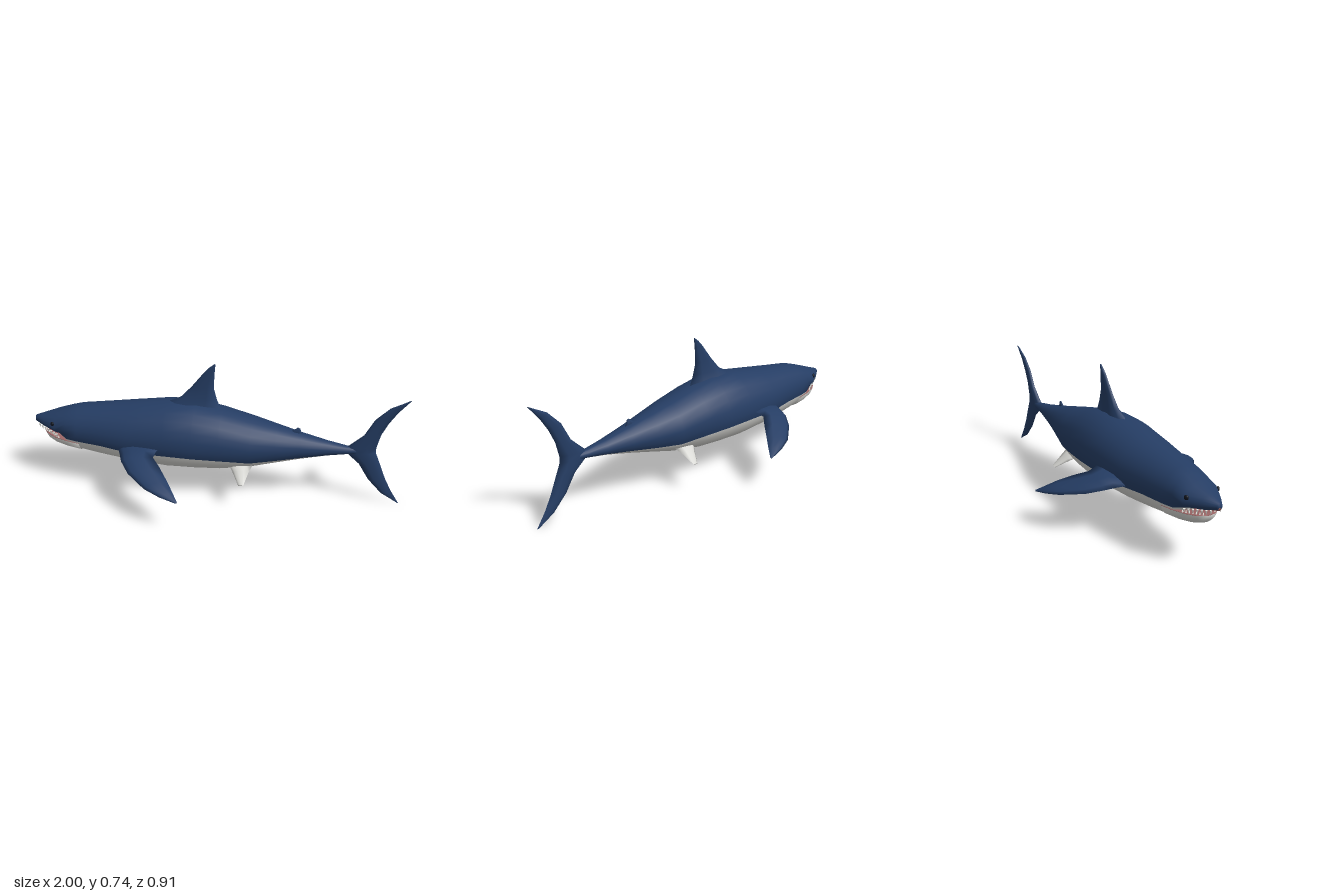
import * as THREE from 'three';

const mat = (name, color, extra = {}) => {
  const m = new THREE.MeshStandardMaterial({ color, ...extra });
  m.name = name;
  return m;
};

// Skins a list of closed rings, caps both ends and groups faces by pick(ring, side).
function loft(name, rings, materials, pick = () => 0) {
  const n = rings[0].length, last = rings.length - 1;
  const pos = rings.flat().flatMap(p => [p.x, p.y, p.z]);
  const faces = materials.map(() => []);
  for (let i = 0; i < last; i++) {
    for (let j = 0; j < n; j++) {
      const a = i * n + j, b = i * n + (j + 1) % n;
      faces[pick(i, j)].push([a, b, b + n], [a, b + n, a + n]);
    }
  }
  for (const i of [0, last]) {
    const c = new THREE.Vector3();
    rings[i].forEach(p => c.addScaledVector(p, 1 / n));
    const k = pos.length / 3;
    pos.push(c.x, c.y, c.z);
    for (let j = 0; j < n; j++) {
      const a = i * n + j, b = i * n + (j + 1) % n;
      faces[pick(Math.min(i, last - 1), j)].push(i ? [a, b, k] : [b, a, k]);
    }
  }
  // Turn all faces outward, whichever way the rings run
  const v = i => new THREE.Vector3().fromArray(pos, i * 3);
  let volume = 0;
  faces.flat().forEach(([a, b, c]) => { volume += v(a).dot(v(b).cross(v(c))); });
  if (volume < 0) faces.flat().forEach(f => f.reverse());

  const g = new THREE.BufferGeometry();
  g.setAttribute('position', new THREE.Float32BufferAttribute(pos, 3));
  g.setIndex(faces.flat(2));
  let start = 0;
  faces.forEach((f, i) => { g.addGroup(start, f.length * 3, i); start += f.length * 3; });
  g.computeVertexNormals();
  const mesh = new THREE.Mesh(g, materials);
  mesh.name = name;
  return mesh;
}

// Body cross-section: an egg split at the colour line into upper and lower arcs.
const UP = 14, LOW = 10;
function bodyRing([x, top, bottom, half, mid, line]) {
  const t0 = Math.asin(Math.max(-1, Math.min(0, (line - mid) / (mid - bottom))));
  const at = t => {
    const s = Math.sin(t);
    return new THREE.Vector3(x, mid + s * (s > 0 ? top - mid : mid - bottom), half * Math.cos(t));
  };
  const ring = [];
  for (let j = 0; j < UP; j++) ring.push(at(t0 + (Math.PI - 2 * t0) * j / UP));
  for (let j = 0; j < LOW; j++) ring.push(at(Math.PI - t0 + (Math.PI + 2 * t0) * j / LOW));
  return ring;
}

// Fin cross-section: a lens from leading to trailing point.
const LENS = [[0, 0], [0.12, 0.65], [0.35, 1], [0.7, 0.6], [1, 0], [0.7, -0.6], [0.35, -1], [0.12, -0.65]];
function fin(name, sections, normal, materials, pick) {
  const rings = sections.map(([lead, trail, thick]) => {
    const a = new THREE.Vector3(...lead), b = new THREE.Vector3(...trail);
    return LENS.map(([u, w]) => a.clone().lerp(b, u).addScaledVector(normal, w * thick));
  });
  return loft(name, rings, materials, pick);
}

export function createModel() {
  const blue = mat('navy skin', 0x253d64);
  const white = mat('pale belly', 0xd6d6d2);
  const gum = mat('mouth pink', 0x9a6464);
  const tooth = mat('tooth white', 0xf0efe8);
  const black = mat('eye black', 0x10151f);
  const model = new THREE.Group();
  const add = (...m) => model.add(...m);

  // Body stations: x, top, bottom, half width, widest height, colour line
  const body = [
    [-1, 0.362, 0.326, 0.016, 0.345, 0.332],
    [-0.94, 0.382, 0.308, 0.058, 0.34, 0.315],
    [-0.865, 0.408, 0.291, 0.102, 0.337, 0.298],
    [-0.8, 0.43, 0.205, 0.114, 0.33, 0.286],
    [-0.74, 0.447, 0.192, 0.125, 0.325, 0.283],
    [-0.6, 0.465, 0.173, 0.147, 0.32, 0.282],
    [-0.45, 0.485, 0.156, 0.17, 0.32, 0.268],
    [-0.25, 0.513, 0.145, 0.19, 0.32, 0.278],
    [-0.1, 0.514, 0.146, 0.184, 0.32, 0.27],
    [0.04, 0.487, 0.151, 0.171, 0.318, 0.263],
    [0.2, 0.447, 0.175, 0.143, 0.312, 0.243],
    [0.33, 0.413, 0.207, 0.108, 0.308, 0.251],
    [0.46, 0.379, 0.238, 0.074, 0.306, 0.264],
    [0.6, 0.346, 0.268, 0.044, 0.304, 0.279],
    [0.7, 0.327, 0.283, 0.026, 0.304, 0.287],
    [0.8, 0.32, 0.29, 0.012, 0.305, 0.291],
  ];
  add(loft('body', body.map(bodyRing), [blue, white, gum],
    (i, j) => (j < UP ? 0 : i < 2 ? 2 : 1)));

  // Lower jaw with a flat pink floor
  const jaw = [
    [-0.942, 0.288, 0.258, 0.03, 0.283, 0.283],
    [-0.92, 0.286, 0.237, 0.056, 0.28, 0.28],
    [-0.87, 0.283, 0.216, 0.085, 0.277, 0.277],
    [-0.8, 0.279, 0.202, 0.107, 0.273, 0.273],
    [-0.73, 0.275, 0.194, 0.117, 0.268, 0.268],
  ];
  add(loft('lowerJaw', jaw.map(bodyRing), [gum, white], (i, j) => (j < UP ? 0 : 1)));

  // Teeth along both jaws
  const lerp = THREE.MathUtils.lerp;
  for (const s of [1, -1]) {
    for (let k = 0; k < 7; k++) {
      const t = k / 6;
      const upper = new THREE.Mesh(new THREE.ConeGeometry(0.007, 0.022, 4), tooth);
      upper.name = 'upperTooth';
      upper.position.set(lerp(-0.975, -0.86, t), lerp(0.312, 0.288, t), s * lerp(0.026, 0.084, t));
      upper.rotation.x = Math.PI;
      const lower = new THREE.Mesh(new THREE.ConeGeometry(0.006, 0.018, 4), tooth);
      lower.name = 'lowerTooth';
      lower.position.set(lerp(-0.932, -0.85, t), lerp(0.291, 0.285, t), s * lerp(0.032, 0.085, t));
      add(upper, lower);
    }
  }

  // Upright fins, listed as lead x, y, trail x, y, half thickness
  const upright = (name, rows) => add(fin(name,
    rows.map(([ax, ay, bx, by, t]) => [[ax, ay, 0], [bx, by, 0], t]),
    new THREE.Vector3(0, 0, 1), [blue]));
  upright('dorsalFin', [
    [-0.29, 0.47, 0.07, 0.45, 0.05],
    [-0.24, 0.515, 0.03, 0.49, 0.034],
    [-0.18, 0.545, 0.01, 0.54, 0.02],
    [-0.125, 0.605, -0.007, 0.605, 0.014],
    [-0.055, 0.695, -0.003, 0.69, 0.01],
    [-0.03, 0.722, 0, 0.72, 0.008],
    [-0.006, 0.741, 0.002, 0.741, 0.004],
  ]);
  upright('rearDorsalFin', [
    [0.37, 0.37, 0.48, 0.36, 0.012],
    [0.42, 0.398, 0.458, 0.388, 0.008],
    [0.437, 0.412, 0.452, 0.408, 0.004],
  ]);
  upright('tailFin', [
    [0.985, 0.006, 0.998, 0, 0.004],
    [0.9, 0.055, 0.95, 0.075, 0.009],
    [0.825, 0.135, 0.912, 0.15, 0.012],
    [0.77, 0.225, 0.878, 0.235, 0.014],
    [0.7, 0.287, 0.852, 0.298, 0.019],
    [0.7, 0.322, 0.85, 0.33, 0.019],
    [0.782, 0.4, 0.868, 0.41, 0.014],
    [0.83, 0.495, 0.9, 0.48, 0.012],
    [0.9, 0.567, 0.94, 0.545, 0.009],
    [0.985, 0.612, 0.998, 0.617, 0.004],
  ]);

  // Paired fins and eyes
  for (const [s, side] of [[1, 'left'], [-1, 'right']]) {
    const flip = rows => rows.map(([a, b, t]) => [[a[0], a[1], s * a[2]], [b[0], b[1], s * b[2]], t]);
    add(fin(side + 'PectoralFin', flip([
      [[-0.51, 0.285, 0.12], [-0.24, 0.325, 0.13], 0.026],
      [[-0.475, 0.275, 0.2], [-0.28, 0.312, 0.2], 0.022],
      [[-0.455, 0.266, 0.25], [-0.285, 0.3, 0.24], 0.02],
      [[-0.4, 0.243, 0.325], [-0.24, 0.276, 0.29], 0.017],
      [[-0.295, 0.216, 0.41], [-0.185, 0.24, 0.36], 0.014],
      [[-0.21, 0.197, 0.442], [-0.15, 0.21, 0.405], 0.009],
      [[-0.125, 0.178, 0.455], [-0.117, 0.182, 0.45], 0.003],
    ]), new THREE.Vector3(0, 0.95, s * 0.3), [blue, white],
    (i, j) => (j < 4 || j === 7 || i > 4 ? 0 : 1)));

    add(fin(side + 'PelvicFin', flip([
      [[0.08, 0.215, 0.08], [0.22, 0.22, 0.08], 0.02],
      [[0.115, 0.185, 0.13], [0.2, 0.192, 0.13], 0.012],
      [[0.155, 0.146, 0.195], [0.182, 0.15, 0.195], 0.003],
    ]), new THREE.Vector3(0, 0.85, s * 0.5), [white]));

    const eye = new THREE.Mesh(new THREE.SphereGeometry(0.012, 12, 8), black);
    eye.name = side + 'Eye';
    eye.scale.z = 0.6;
    eye.position.set(-0.878, 0.362, s * 0.089);
    eye.rotation.y = s * -0.5;
    add(eye);
  }
  return model;
}
